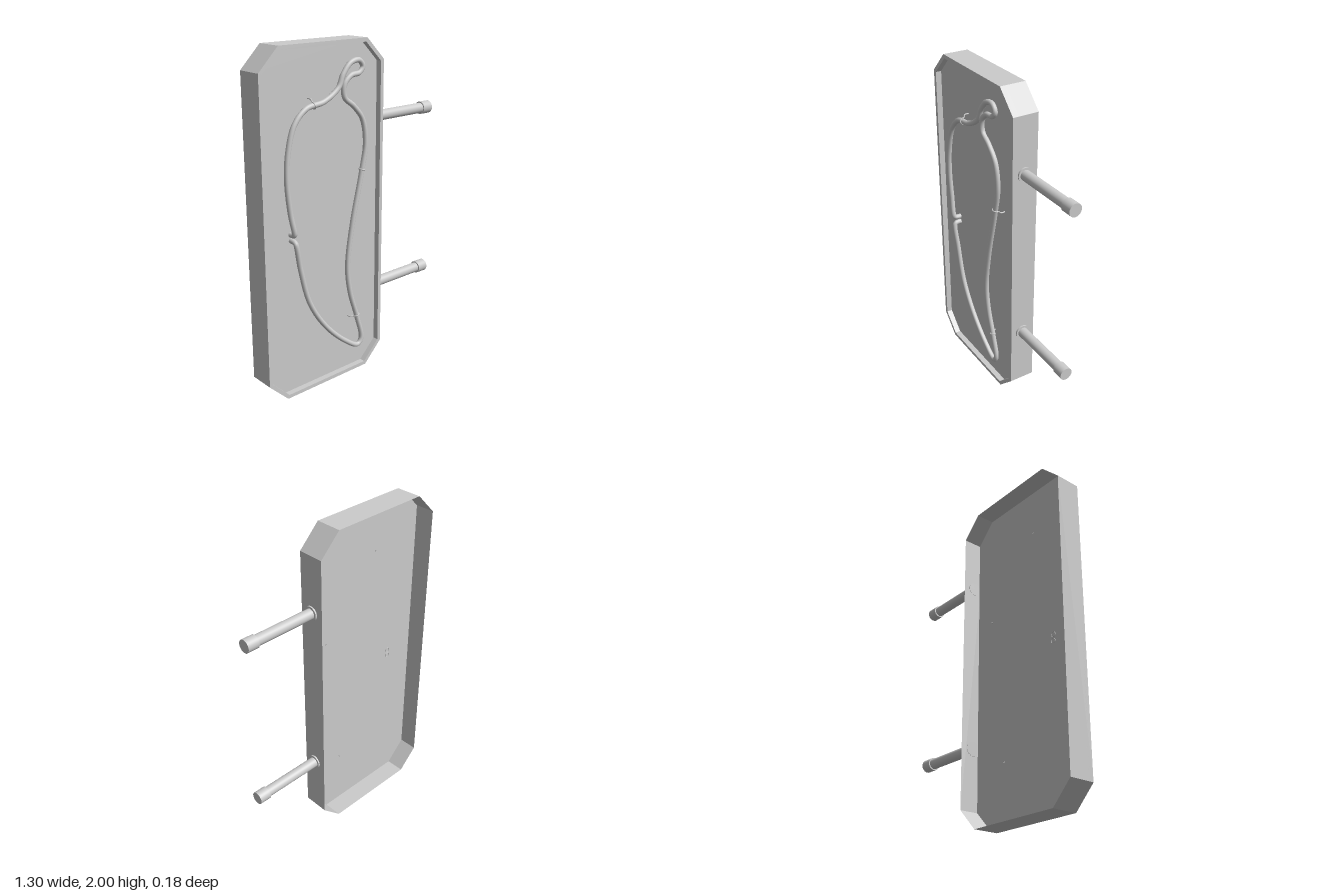
import * as THREE from 'three';

const mat = new THREE.MeshStandardMaterial({ color: 0xcccccc });
const sheet = new THREE.MeshStandardMaterial({ color: 0xcccccc, side: THREE.DoubleSide });

const X0 = -0.65, X1 = 0.2, BACK = -0.09, FRONT = 0.065, PANEL_Z = 0.03;

// Corners of the clipped rectangle, moved inwards by d
function outline(d) {
  const c = 0.125 - d * 0.59;
  const l = X0 + d, r = X1 - d, b = d, t = 2 - d;
  return [[l + c, b], [r - c, b], [r, b + c], [r, t - c],
    [r - c, t], [l + c, t], [l, t - c], [l, b + c]].map(p => new THREE.Vector2(...p));
}

function add(parent, name, geometry, material = mat) {
  const mesh = new THREE.Mesh(geometry, material);
  mesh.name = name;
  parent.add(mesh);
  return mesh;
}

function plate(points, z, depth, hole) {
  const shape = new THREE.Shape(points);
  if (hole) shape.holes.push(new THREE.Path(hole));
  return new THREE.ExtrudeGeometry(shape, { depth, bevelEnabled: false }).translate(0, 0, z);
}

// Thin wall following the outline from z0 to z1
function wall(points, z0, z1) {
  const pos = [];
  points.forEach((a, i) => {
    const b = points[(i + 1) % points.length];
    pos.push(a.x, a.y, z0, b.x, b.y, z0, b.x, b.y, z1, a.x, a.y, z0, b.x, b.y, z1, a.x, a.y, z1);
  });
  const g = new THREE.BufferGeometry();
  g.setAttribute('position', new THREE.Float32BufferAttribute(pos, 3));
  g.computeVertexNormals();
  return g;
}

// Wall post: flange, rod and end cap along +x
function makePost(y) {
  const post = new THREE.Group();
  post.name = 'mountingPost';
  const piece = (name, r, x0, x1) => {
    const m = add(post, name, new THREE.CylinderGeometry(r, r, x1 - x0, 32));
    m.rotation.z = -Math.PI / 2;
    m.position.x = (x0 + x1) / 2;
  };
  piece('flange', 0.043, 0.198, 0.209);
  piece('rod', 0.031, 0.205, 0.585);
  piece('endCap', 0.038, 0.58, 0.65);
  post.position.set(0, y, -0.01);
  return post;
}

// Wire clip: a stalk from the panel and a half ring over the tube
function makeClip(x, y, angle) {
  const clip = new THREE.Group();
  clip.name = 'tubeClip';
  const pts = [[0.034, 0.02], [0.034, 0.055], [0.019, 0.062], [0.017, 0.074],
    [0, 0.087], [-0.017, 0.074], [-0.016, 0.06]].map(([u, z]) => new THREE.Vector3(u, 0, z));
  add(clip, 'clipWire', new THREE.TubeGeometry(new THREE.CatmullRomCurve3(pts), 24, 0.004, 8), sheet);
  clip.position.set(x, y, 0);
  clip.rotation.z = angle;
  return clip;
}

export function createModel() {
  const model = new THREE.Group();
  model.name = 'pepperSign';

  // Open-backed housing with a narrow front rim
  const housing = new THREE.Group();
  housing.name = 'housing';
  model.add(housing);
  add(housing, 'sideWall', wall(outline(0), BACK, FRONT), sheet);
  add(housing, 'frontRim', plate(outline(0), PANEL_Z, FRONT - PANEL_Z, outline(0.022)));
  add(housing, 'panel', plate(outline(0.001), PANEL_Z - 0.004, 0.004));

  // Bent glass tube tracing a pepper
  const Z = 0.07, R = 0.015;
  const path = [[-0.455, 0.99], [-0.48, 1.12], [-0.497, 1.3], [-0.485, 1.45], [-0.44, 1.59],
    [-0.36, 1.665], [-0.24, 1.688], [-0.14, 1.75], [-0.105, 1.82], [-0.05, 1.877], [0.01, 1.885],
    [0.036, 1.85], [0.01, 1.818], [-0.05, 1.808], [-0.095, 1.765], [-0.095, 1.695], [-0.03, 1.64],
    [0.035, 1.56], [0.06, 1.42], [0.03, 1.25], [-0.04, 0.95], [-0.075, 0.7], [-0.055, 0.53],
    [0, 0.35], [0.034, 0.2], [0.005, 0.167], [-0.1, 0.23], [-0.25, 0.38], [-0.36, 0.56],
    [-0.42, 0.78], [-0.45, 0.94]].map(([x, y]) => new THREE.Vector3(x, y, Z));
  // Both ends turn back through the panel
  path.unshift(new THREE.Vector3(-0.453, 0.983, 0.022), new THREE.Vector3(-0.453, 0.983, 0.056));
  path.push(new THREE.Vector3(-0.451, 0.946, 0.056), new THREE.Vector3(-0.451, 0.946, 0.022));
  const curve = new THREE.CatmullRomCurve3(path, false, 'centripetal');
  add(model, 'glassTube', new THREE.TubeGeometry(curve, 400, R, 12), sheet);

  // Clips holding the tube
  model.add(makeClip(-0.31, 1.676, Math.PI / 2 + 0.2));
  model.add(makeClip(0.034, 1.27, -0.2));
  model.add(makeClip(-0.006, 0.37, Math.PI + 0.28));

  // Posts on the left side
  for (const y of [0.49, 1.54]) model.add(makePost(y));

  return model;
}
